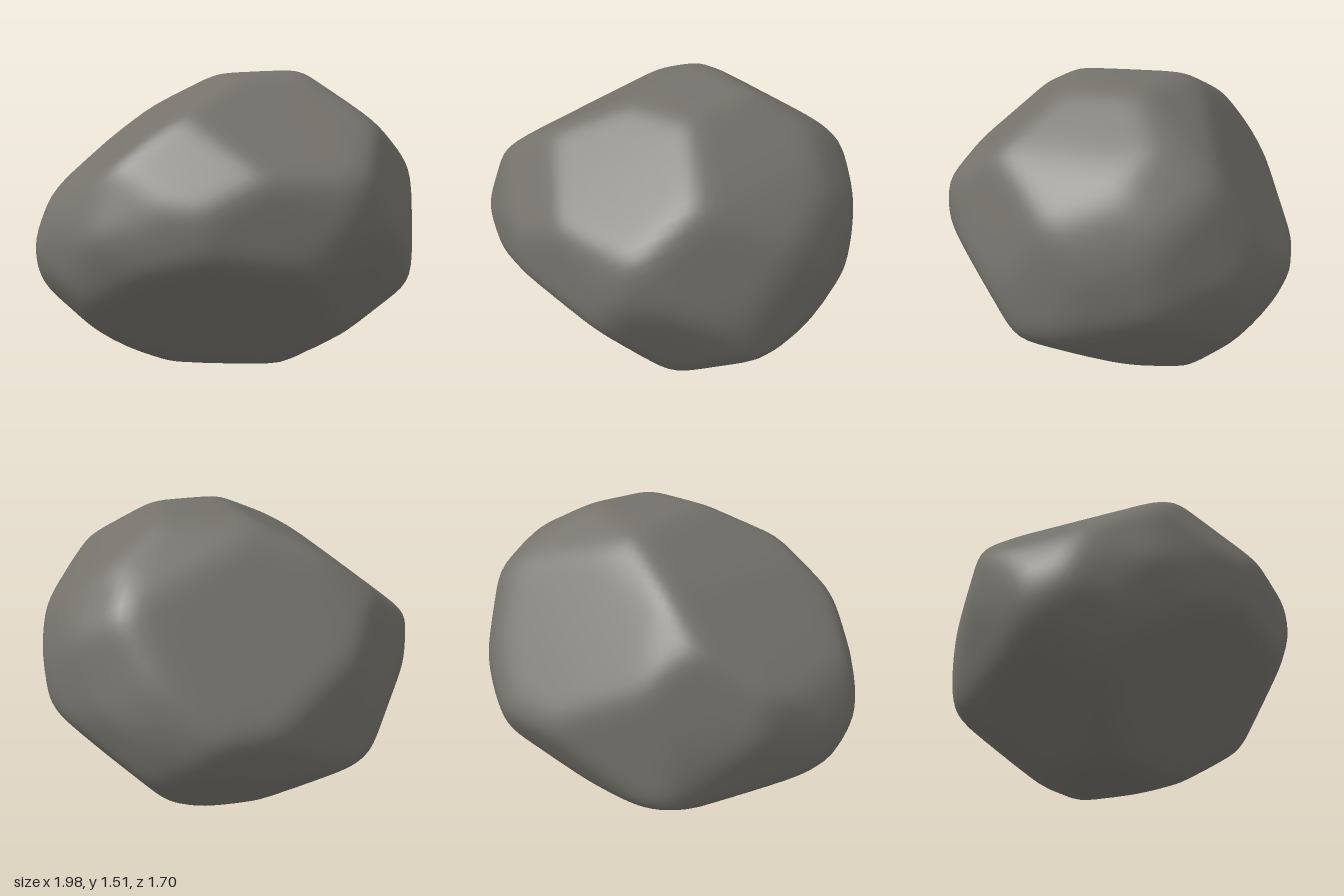
import * as THREE from 'three';
import { mergeVertices } from 'three/addons/utils/BufferGeometryUtils.js';

const MID = 0.76; // height of the boulder's centre
const WEAR = 1.008; // allowance for what softening takes off

// Convex outline on the plane facing (azimuth, elevation) in degrees
function outline(azimuth, elevation, points) {
  const turn = new THREE.Euler(
    -THREE.MathUtils.degToRad(elevation), THREE.MathUtils.degToRad(azimuth), 0, 'YXZ');
  return {
    right: new THREE.Vector3(1, 0, 0).applyEuler(turn),
    up: new THREE.Vector3(0, 1, 0).applyEuler(turn),
    points,
  };
}

// Heights are measured from the centre
const front = outline(0, 0, [[-.43, -.76], [.3, -.76], [.74, -.54], [.97, -.24], [1, .06], [.89, .42], [.8, .56],
  [.52, .76], [0, .73], [-.82, .29], [-1, -.11], [-.96, -.34], [-.8, -.52]]);
const side = outline(90, 0, [[-.35, -.76], [.39, -.76], [.68, -.47], [.87, -.11], [.34, .72], [.16, .76],
  [-.35, .73], [-.73, .49], [-.81, .34], [-.87, .06], [-.81, -.32]]);
const top = outline(0, 90, [[-1, 0], [-.97, -.22], [-.74, -.57], [-.26, -.8], [.4, -.86], [.7, -.69], [.87, -.43],
  [1, -.07], [.96, .25], [.82, .58], [.38, .87], [.1, .86], [-.5, .65], [-.8, .39]]);

// Slanted outlines chip away the remaining corners
const frontChips = outline(45, 30, [[-.92, .06], [-.8, .35], [.12, .77], [.52, .61], [.87, .32], [.99, -.06],
  [.87, -.37], [.52, -.7], [-.04, -.83], [-.84, -.19]]);
const backChips = outline(225, 30, [[-.07, .85], [.56, .55], [.8, .25], [.92, -.1], [.87, -.39], [.67, -.65],
  [0, -.8], [-.31, -.78], [-.87, -.36], [-.99, -.06], [-.88, .45], [-.66, .68]]);
const underChips = outline(135, -30, [[-.2, .85], [-.38, .85], [-.82, .48], [-.96, 0], [-.72, -.46], [-.37, -.7],
  [.25, -.82], [.69, -.61], [.85, -.2], [.74, .3], [.53, .52], [.2, .74]]);

const outlines = [front, side, top, frontChips, backChips, underChips];

// Distance from the centre to an outline along a direction
function reach({ right, up, points }, dir) {
  const u = dir.dot(right), v = dir.dot(up);
  const nearness = points.map(([ax, ay], i) => {
    const [bx, by] = points[(i + 1) % points.length];
    return ((by - ay) * u + (ax - bx) * v) / (ax * by - ay * bx);
  });
  return WEAR / Math.max(1e-3, ...nearness);
}

// Average each vertex with its neighbours to wear down the edges
function soften(geometry, passes) {
  const pos = geometry.attributes.position, index = geometry.index.array;
  const near = Array.from({ length: pos.count }, () => new Set());
  for (let i = 0; i < index.length; i += 3)
    for (let k = 0; k < 3; k++) near[index[i + k]].add(index[i + (k + 1) % 3]);
  const p = new THREE.Vector3();
  for (let n = 0; n < passes; n++) {
    const old = near.map((_, i) => new THREE.Vector3().fromBufferAttribute(pos, i));
    near.forEach((set, i) => {
      p.set(0, 0, 0);
      set.forEach(j => p.add(old[j]));
      p.divideScalar(set.size).lerp(old[i], 0.4);
      pos.setXYZ(i, p.x, p.y, p.z);
    });
  }
}

function boulderGeometry() {
  const ball = new THREE.IcosahedronGeometry(1, 24);
  ball.deleteAttribute('uv');
  ball.deleteAttribute('normal');
  const g = mergeVertices(ball, 1e-4);
  const pos = g.attributes.position, dir = new THREE.Vector3();
  for (let i = 0; i < pos.count; i++) {
    dir.fromBufferAttribute(pos, i).normalize();
    // Soft minimum of all outlines
    const sum = outlines.reduce((s, o) => s + reach(o, dir) ** -90, 0);
    dir.multiplyScalar(sum ** (-1 / 90));
    pos.setXYZ(i, dir.x, dir.y, dir.z);
  }
  soften(g, 4);
  // Flat base on the ground
  for (let i = 0; i < pos.count; i++) pos.setY(i, Math.max(0, pos.getY(i) + MID));
  g.computeVertexNormals();
  return g;
}

export function createModel() {
  const stone = new THREE.MeshStandardMaterial({ color: 0x74726b });
  stone.name = 'greyStone';
  const boulder = new THREE.Mesh(boulderGeometry(), stone);
  boulder.name = 'boulder';
  const group = new THREE.Group();
  group.name = 'rock';
  group.add(boulder);
  return group;
}
